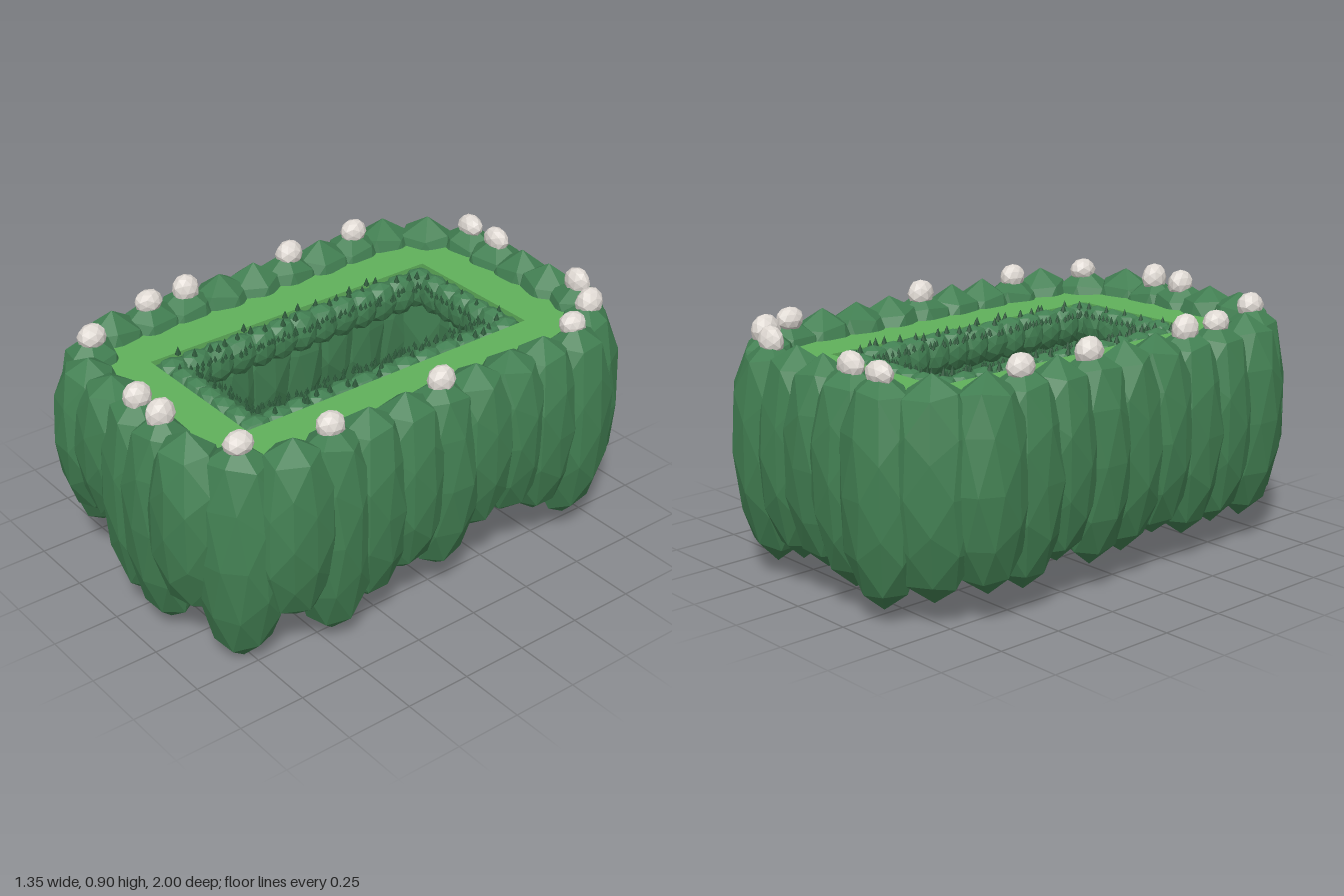
import * as THREE from 'three';

const mat = (name, color, extra = {}) => {
  const m = new THREE.MeshStandardMaterial({ color, ...extra });
  m.name = name;
  return m;
};

// Small seeded random generator
function seeded(seed) {
  let s = seed;
  return () => {
    s = (s * 16807) % 2147483647;
    return s / 2147483647;
  };
}

// Faceted boulder: icosphere with uneven corners and, if wanted, fuller shoulders
function boulderGeometry(seed, roughness, shoulder) {
  const geo = new THREE.IcosahedronGeometry(1, 1);
  geo.rotateY(seed * 1.3);
  const p = geo.attributes.position;
  const rand = seeded(seed * 7919 + 13);
  const scales = new Map();
  for (let i = 0; i < p.count; i++) {
    const x = p.getX(i);
    const y = p.getY(i);
    const z = p.getZ(i);
    const key = [x, y, z].map((v) => Math.round(v * 100)).join();
    if (!scales.has(key)) scales.set(key, 1 + (rand() - 0.5) * roughness);
    const k = scales.get(key);
    const up = Math.max(y, 0);
    const r = k * (1 + shoulder * up * up);
    p.setXYZ(i, x * r, Math.abs(y) > 0.99 ? y : y * (2 + k) / 3, z * r);
  }
  geo.computeVertexNormals();
  return geo;
}

// Outer ring positions: [x, z, turn about y]; each cliff is widest along the ring
function cliffRing() {
  const along = [-0.3, -0.15, 0, 0.145, 0.3];
  const side = [0.62, 0.465, 0.31, 0.155, 0, -0.155, -0.31, -0.465, -0.62];
  const back = along.slice().reverse();
  const leftToFront = side.slice().reverse();
  return [
    ...along.map((x) => [x, 0.865, 0]),
    [0.445, 0.77, Math.PI / 4],
    ...side.map((z) => [0.54, z, Math.PI / 2]),
    [0.445, -0.77, -Math.PI / 4],
    ...back.map((x) => [x, -0.865, 0]),
    [-0.445, -0.77, Math.PI / 4],
    ...leftToFront.map((z) => [-0.54, z, Math.PI / 2]),
    [-0.445, 0.77, -Math.PI / 4],
  ];
}

export function createModel() {
  const model = new THREE.Group();
  model.name = 'floatingIslandRing';
  const cliffGreen = mat('cliff green', 0x427f52, { flatShading: true });
  const grassGreen = mat('grass green', 0x60b05b);
  const stoneGrey = mat('stone grey', 0xdfd9d3, { flatShading: true });
  const treeGreen = mat('tree green', 0x2a5537, { flatShading: true });

  const add = (parent, name, geo, material, x, y, z) => {
    const mesh = new THREE.Mesh(geo, material);
    mesh.name = name;
    mesh.position.set(x, y, z);
    parent.add(mesh);
    return mesh;
  };
  const group = (name) => {
    const g = new THREE.Group();
    g.name = name;
    model.add(g);
    return g;
  };

  // Tall hanging cliffs around the outside, each with its own lower tip
  const bottoms = [
    0.24, 0.28, 0.06, 0.03, 0.16, 0,
    0.16, 0.03, 0.1, 0.15, 0.1, 0.2, 0.2, 0.14, 0.06, 0.06,
    0.05, 0.1, 0.11, 0.08, 0.04, 0.08,
    0.1, 0.08, 0.14, 0.09, 0.1, 0.13, 0.09, 0.1, 0.09, 0.08,
  ];
  const ring = cliffRing();
  const cliffs = group('outerCliffs');
  const cliffShapes = [1, 2, 3, 4, 5].map((s) => boulderGeometry(s, 0.08, 0.2));
  ring.forEach(([x, z, turn], i) => {
    const top = 0.86;
    const cliff = add(cliffs, 'cliff', cliffShapes[i % 5], cliffGreen, x, (top + bottoms[i]) / 2, z);
    cliff.scale.set(0.165, (top - bottoms[i]) / 2, 0.135);
    cliff.rotation.y = turn;
  });

  // Grass terrace with a rectangular opening
  const shape = new THREE.Shape(ring.map(([x, z]) => new THREE.Vector2(x * 0.94, -z * 0.96)));
  const hole = [[-0.295, -0.62], [-0.295, 0.62], [0.285, 0.62], [0.285, -0.62]];
  shape.holes.push(new THREE.Path(hole.map(([x, y]) => new THREE.Vector2(x, y))));
  const grass = new THREE.ExtrudeGeometry(shape, { depth: 0.02, bevelEnabled: false });
  grass.rotateX(-Math.PI / 2);
  add(model, 'grassTerrace', grass, grassGreen, 0, 0.74, 0);

  // Small rocks lining the opening
  const rim = group('innerRim');
  const rimRock = (x, z, rx, rz, i) =>
    add(rim, 'rimRock', cliffShapes[i % 5], cliffGreen, x, 0.695, z).scale.set(rx, 0.08, rz);
  for (let i = 0; i <= 12; i++) {
    const z = -0.56 + (i * 1.12) / 12;
    rimRock(-0.247, z, 0.055, 0.07, i);
    rimRock(0.245, z, 0.055, 0.07, i + 2);
  }
  for (let i = 1; i < 6; i++) {
    const x = -0.245 + (i * 0.49) / 6;
    rimRock(x, -0.573, 0.066, 0.054, i);
    rimRock(x, 0.57, 0.066, 0.054, i + 3);
  }

  // Pale stones on selected cliff tops
  const stones = group('capStones');
  const stoneShapes = [6, 7, 8].map((s) => boulderGeometry(s, 0.1, 0));
  const stoneSpots = [
    [-0.3, -0.865], [-0.15, -0.865], [0.295, -0.865], [0.44, -0.785], [0.52, -0.625],
    [-0.54, -0.475], [-0.54, -0.165], [-0.54, 0.305], [-0.54, 0.465], [-0.44, 0.765],
    [0, 0.86], [0.14, 0.86], [0.445, 0.765], [0.535, 0.465], [0.535, -0.005],
  ];
  stoneSpots.forEach(([x, z], i) => {
    const back = z < -0.84;
    add(stones, 'capStone', stoneShapes[i % 3], stoneGrey, x, 0.847, z)
      .scale.set(back ? 0.057 : 0.045, 0.045 + (i % 4) * 0.004, back ? 0.04 : 0.054);
  });

  // Tiny conifers: a trunk with one cone
  const trees = group('trees');
  const cone = new THREE.ConeGeometry(1, 1, 6);
  const trunk = new THREE.CylinderGeometry(0.3, 0.3, 1, 5);
  const rand = seeded(421);
  const tree = (x, y, z, r, h) => {
    add(trees, 'treeTrunk', trunk, treeGreen, x, y + h * 0.15, z).scale.set(r, h * 0.3, r);
    add(trees, 'treeCrown', cone, treeGreen, x, y + h * 0.6, z).scale.set(r, h * 0.8, r);
  };
  for (const s of [-1, 1]) {
    for (let i = 0; i < 24; i++) {
      tree(s * (0.21 + rand() * 0.075), 0.755, -0.54 + (i + rand()) * 0.045, 0.012, 0.038);
    }
    for (let i = 0; i < 64; i++) {
      tree(s * (0.155 + rand() * 0.04), 0.735, -0.52 + (i + rand()) * 0.0163, 0.008, 0.028);
    }
    for (let i = 0; i < 18; i++) {
      tree(-0.17 + i * 0.02, 0.735, s * (0.49 + rand() * 0.03), 0.007, 0.028);
    }
    for (let i = 0; i < 5; i++) {
      tree(-0.18 + i * 0.09, 0.755, s * (0.54 + rand() * 0.05), 0.01, 0.035);
    }
  }

  return model;
}
